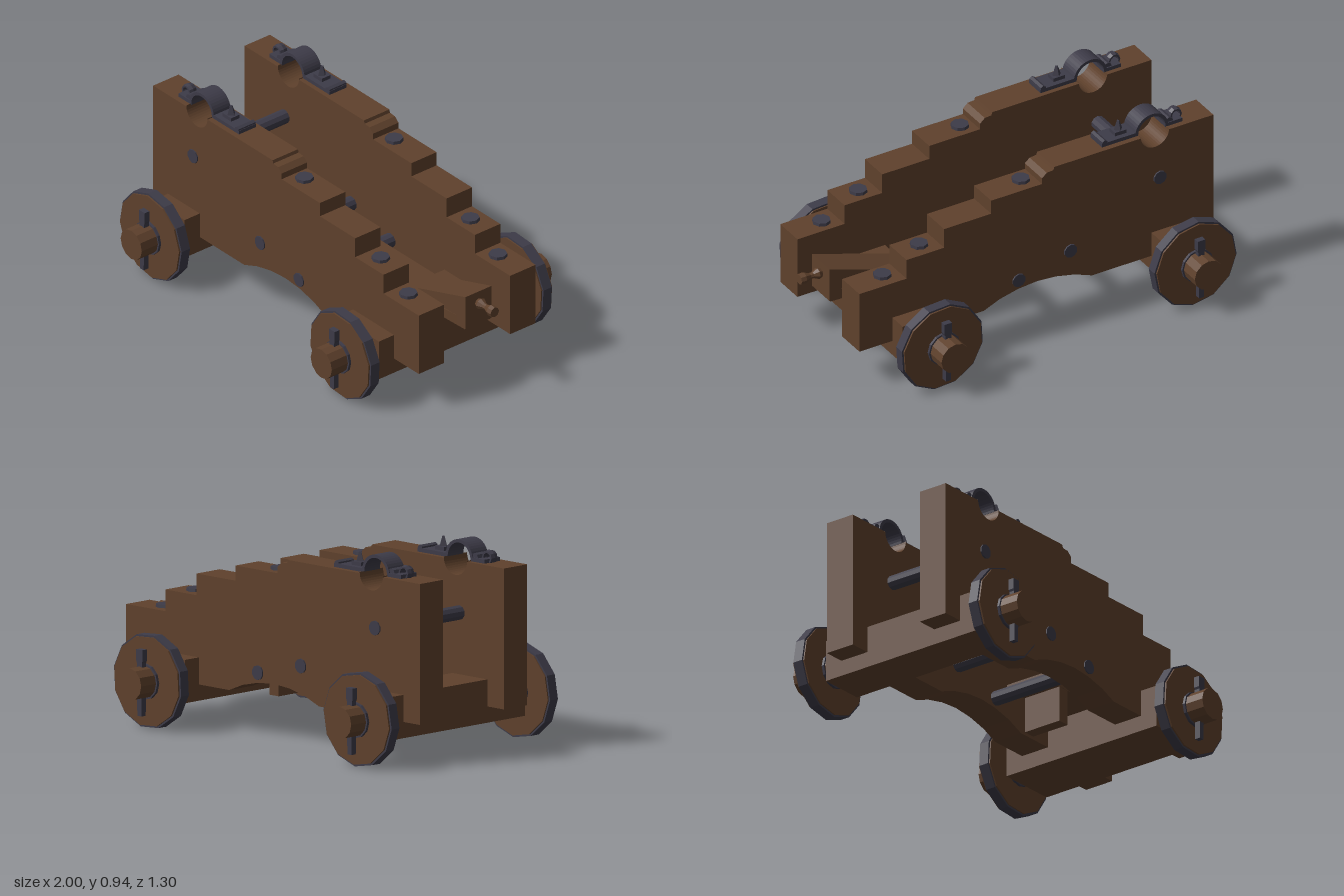
import * as THREE from 'three';

const wood = new THREE.MeshStandardMaterial({ color: 0x5f412c, flatShading: true });
const iron = new THREE.MeshStandardMaterial({ color: 0x3d3b48, flatShading: true });

function add(parent, name, geometry, material, x = 0, y = 0, z = 0) {
  const mesh = new THREE.Mesh(geometry, material);
  mesh.name = name;
  mesh.position.set(x, y, z);
  parent.add(mesh);
  return mesh;
}

const box = (w, h, d) => new THREE.BoxGeometry(w, h, d);
// cylinder lying along z
const rod = (r, length, sides) => new THREE.CylinderGeometry(r, r, length, sides).rotateX(Math.PI / 2);
// extrusion centred on z = 0
function slab(shape, depth) {
  return new THREE.ExtrudeGeometry(shape, { depth, bevelEnabled: false, curveSegments: 10 })
    .translate(0, 0, -depth / 2);
}
const polygon = pts => new THREE.Shape(pts.map(p => new THREE.Vector2(...p)));

// Stepped side plank with a bearing notch on top and an arch below
function cheekGeometry() {
  const s = new THREE.Shape();
  s.moveTo(-0.995, 0.2);
  s.lineTo(-0.995, 0.85);
  s.lineTo(-0.76, 0.85);
  s.absarc(-0.685, 0.855, 0.075, Math.PI, Math.PI * 2, false);
  [[-0.61, 0.85], [-0.15, 0.85], [-0.145, 0.835], [-0.11, 0.832], [-0.085, 0.81], [-0.085, 0.78],
    [0.185, 0.78], [0.185, 0.71], [0.435, 0.71], [0.435, 0.61], [0.635, 0.61], [0.635, 0.51],
    [0.885, 0.51], [0.885, 0.2], [0.225, 0.2], [0.14, 0.235], [0.04, 0.258], [-0.06, 0.266],
    [-0.16, 0.258], [-0.26, 0.235], [-0.35, 0.2]].forEach(p => s.lineTo(...p));
  return slab(s, 0.15);
}

// Strap arching over the bearing notch, with hinge and locking pin
function capStrap() {
  const g = new THREE.Group();
  g.name = 'bearingCap';
  const arch = new THREE.Shape();
  arch.absarc(0, 0, 0.088, 0, Math.PI, false);
  arch.absarc(0, 0, 0.073, Math.PI, 0, true);
  add(g, 'capArch', slab(arch, 0.1), iron, -0.685, 0.853);
  add(g, 'capFrontPlate', box(0.09, 0.02, 0.1), iron, -0.802, 0.858);
  add(g, 'capRearPlate', box(0.19, 0.02, 0.1), iron, -0.515, 0.858);
  add(g, 'hinge', rod(0.022, 0.09, 8), iron, -0.78, 0.868);
  add(g, 'hingeLoop', new THREE.TorusGeometry(0.026, 0.009, 6, 10).scale(1, 1, 2.5), iron, -0.832, 0.872);
  add(g, 'latchEnd', rod(0.015, 0.1, 6), iron, -0.435, 0.868);
  add(g, 'latchBase', box(0.06, 0.02, 0.05), iron, -0.535, 0.876);
  add(g, 'latchPin', new THREE.CylinderGeometry(0.007, 0.024, 0.05, 4), iron, -0.535, 0.906);
  return g;
}

// Wheel with iron tyre, hub ring and linchpin, facing +z
function wheel(phase) {
  const g = new THREE.Group();
  g.name = 'wheel';
  add(g, 'wheelDisc', rod(0.21, 0.064, 12).rotateZ(phase), wood, 0, 0, 0.51);
  add(g, 'tyre', rod(0.219, 0.05, 12).rotateZ(phase), iron, 0, 0, 0.509);
  add(g, 'hubRing', rod(0.083, 0.09, 12), iron, 0, 0, 0.51);
  add(g, 'spindle', rod(0.075, 0.24, 12), wood, 0, 0, 0.53);
  const pin = polygon([[-0.013, -0.155], [0.013, -0.155], [0.016, 0.09], [0.02, 0.1],
    [0.02, 0.152], [-0.02, 0.152], [-0.02, 0.1], [-0.016, 0.09]]);
  add(g, 'linchpin', slab(pin, 0.028), iron, 0, 0, 0.573);
  return g;
}

// Box whose z width and top and bottom heights change from x0 to x1
function taperedBlock(x0, x1, w0, w1, bottom0, top0, bottom1, top1) {
  const geo = box(1, 1, 1);
  const p = geo.attributes.position;
  for (let i = 0; i < p.count; i++) {
    const rear = p.getX(i) > 0;
    const up = p.getY(i) > 0;
    p.setXYZ(i, rear ? x1 : x0, rear ? (up ? top1 : bottom1) : (up ? top0 : bottom0),
      p.getZ(i) * (rear ? w1 : w0));
  }
  geo.computeVertexNormals();
  return geo;
}

export function createModel() {
  const model = new THREE.Group();
  model.name = 'gunCarriage';

  // Side planks with their ironwork
  const cheekGeo = cheekGeometry();
  for (const side of [-1, 1]) {
    add(model, 'cheek', cheekGeo, wood, 0, 0, side * 0.27);
    const cap = capStrap();
    cap.position.z = side * 0.268;
    model.add(cap);
    for (const [x, y] of [[-0.02, 0.78], [0.52, 0.61], [0.715, 0.51]])
      add(model, 'topBolt', new THREE.CylinderGeometry(0.042, 0.045, 0.03, 8), iron, x, y, side * 0.265);
  }

  // Cross rods with heads showing outside the planks
  for (const [x, y] of [[-0.71, 0.61], [-0.235, 0.372], [0.04, 0.305]])
    add(model, 'crossRod', rod(0.034, 0.704, 10), iron, x, y, 0);

  // Axles and wheels
  for (const [name, x, left, right, phase] of
    [['front', -0.785, -0.89, -0.665, 0.08], ['rear', 0.56, 0.42, 0.71, 0.2]]) {
    add(model, name + 'Axle', box(right - left, 0.2, 0.87), wood, (left + right) / 2, 0.225, 0);
    for (const side of [0, 1]) {
      const w = wheel(side ? -phase : phase);
      w.position.set(x, 0.222, 0);
      w.rotation.y = side * Math.PI;
      model.add(w);
    }
  }

  // Bed plank, its cleat, and the elevating wedge with handle
  const bed = new THREE.Group();
  bed.name = 'bed';
  bed.position.z = -0.008;
  model.add(bed);
  add(bed, 'bedPlank', taperedBlock(0.025, 0.88, 0.215, 0.15, 0.32, 0.345, 0.325, 0.378), wood);
  add(bed, 'bedCleat', box(0.06, 0.18, 0.2), wood, 0.175, 0.24, 0);
  add(bed, 'wedge', taperedBlock(0.46, 0.885, 0.154, 0.154, 0.34, 0.362, 0.33, 0.5), wood);
  const profile = [[0, 0], [0.02, 0], [0.028, 0.02], [0.015, 0.045], [0.014, 0.06], [0.027, 0.09],
    [0.025, 0.117], [0, 0.117]].map(p => new THREE.Vector2(...p));
  add(bed, 'wedgeHandle', new THREE.LatheGeometry(profile, 8).rotateZ(-Math.PI / 2), wood, 0.883, 0.443, 0);

  return model;
}
